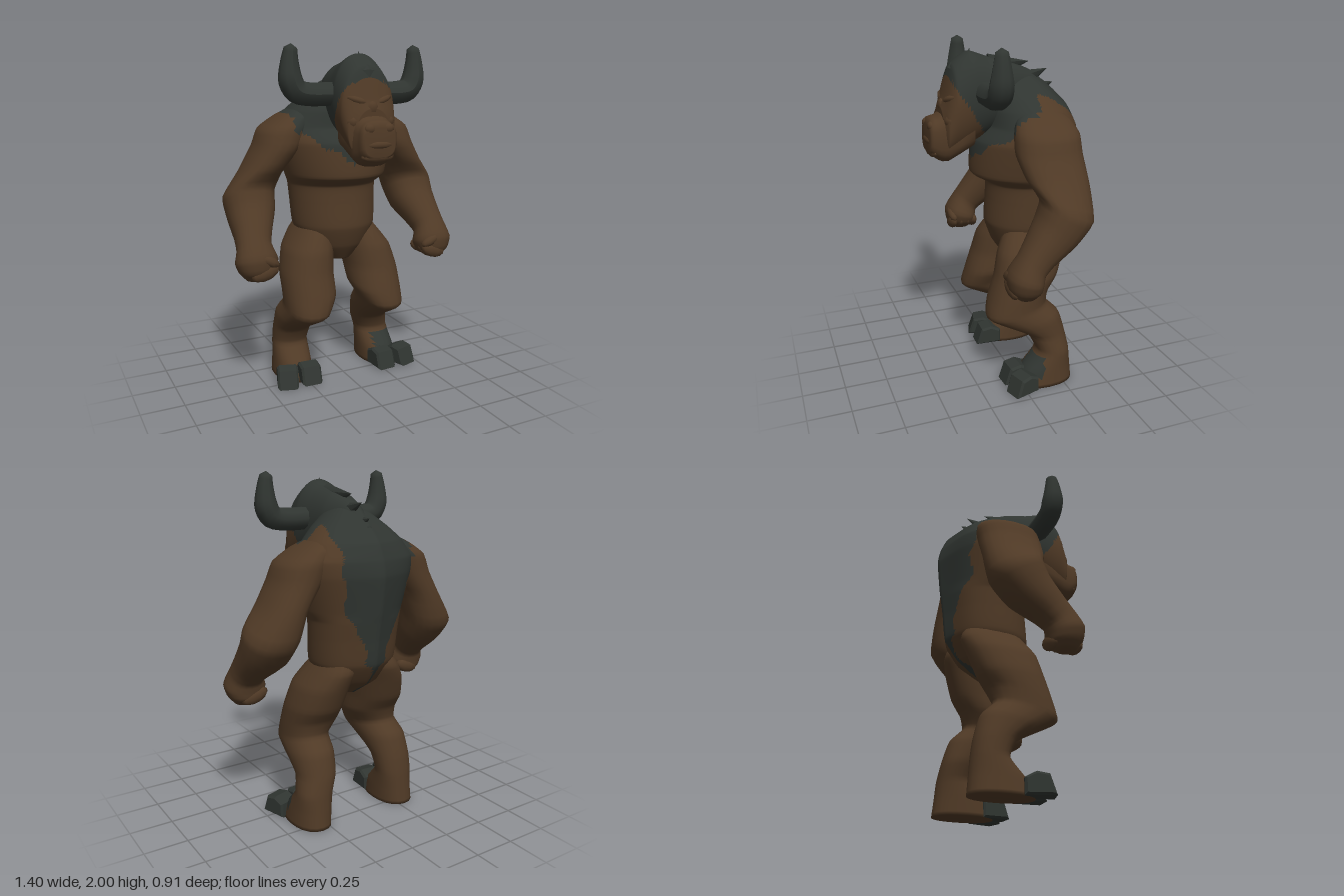
import * as THREE from 'three';

const hide = new THREE.MeshStandardMaterial({ color: 0x503a26 });
hide.name = 'brown hide';
const dark = new THREE.MeshStandardMaterial({ color: 0x303531 });
dark.name = 'dark horn and mane';

// Smooth closed skin through sections [x, y, z, halfWidth, halfDepth, tilt].
// isDark(x, y, z) picks the faces that take the dark colour; ridged makes the back a low ridge.
function loft(sections, { sides = 16, steps = 3, power = 1, ridged = false, isDark = () => false } = {}) {
  const spline = (pts) => new THREE.CatmullRomCurve3(pts, false, 'catmullrom', 0.25);
  const centres = spline(sections.map((s) => new THREE.Vector3(s[0], s[1], s[2])));
  const sizes = spline(sections.map((s) => new THREE.Vector3(s[3], s[4], s[5] || 0)));
  const rows = (sections.length - 1) * steps;
  const p = [];
  const bend = (v) => Math.sign(v) * Math.abs(v) ** power;
  for (let i = 0; i <= rows; i++) {
    const c = centres.getPoint(i / rows), s = sizes.getPoint(i / rows);
    for (let j = 0; j < sides; j++) {
      const t = (j / sides) * Math.PI * 2;
      const u = Math.abs(Math.cos(t));
      const back = ridged && Math.sin(t) < 0;
      const d = s.y * (back ? (0.4 * u - 1) * Math.sqrt(Math.max(0, 1 - u ** 6)) : bend(Math.sin(t)));
      p.push(c.x + bend(Math.cos(t)) * s.x, c.y + d * Math.sin(s.z), c.z + d * Math.cos(s.z));
    }
  }
  const first = p.length / 3;
  for (const e of [sections[0], sections[sections.length - 1]]) p.push(e[0], e[1], e[2]);
  let faces = [];
  for (let j = 0; j < sides; j++) {
    const k = (j + 1) % sides;
    for (let i = 0; i < rows; i++) {
      const a = i * sides + j, b = i * sides + k;
      faces.push([a, b, a + sides], [b, b + sides, a + sides]);
    }
    faces.push([first, k, j], [first + 1, rows * sides + j, rows * sides + k]);
  }
  // Turn the skin outward when its signed volume is negative
  const at = (i) => new THREE.Vector3(p[3 * i], p[3 * i + 1], p[3 * i + 2]);
  const origin = at(first);
  const volume = faces.reduce((sum, f) => {
    const [a, b, c] = f.map((i) => at(i).sub(origin));
    return sum + a.dot(b.cross(c));
  }, 0);
  if (volume < 0) faces = faces.map(([a, b, c]) => [a, c, b]);
  const sets = [[], []];
  for (const f of faces) {
    const m = at(f[0]).add(at(f[1])).add(at(f[2])).divideScalar(3);
    sets[isDark(m.x, m.y, m.z) ? 1 : 0].push(...f);
  }
  const g = new THREE.BufferGeometry();
  g.setAttribute('position', new THREE.Float32BufferAttribute(p, 3));
  g.setIndex([...sets[0], ...sets[1]]);
  g.addGroup(0, sets[0].length, 0);
  g.addGroup(sets[0].length, sets[1].length, 1);
  g.computeVertexNormals();
  return g;
}

function add(parent, name, geometry, material, pos = [0, 0, 0], rot = [0, 0, 0], scale = [1, 1, 1]) {
  const m = new THREE.Mesh(geometry, material);
  m.name = name;
  m.position.set(...pos);
  m.rotation.set(...rot);
  m.scale.set(...scale);
  parent.add(m);
}

const ball = () => new THREE.SphereGeometry(1, 10, 7);

// Width of the dark patch down the spine at a given height
function patchWidth(y) {
  const steps = [[0.94, 0], [0.96, 0.05], [1.12, 0.08], [1.24, 0.19], [1.4, 0.23], [1.55, 0.27], [2, 0.31]];
  for (let i = 1; i < steps.length; i++) {
    const [y0, w0] = steps[i - 1], [y1, w1] = steps[i];
    if (y < y1) return y < y0 ? 0 : w0 + ((w1 - w0) * (y - y0)) / (y1 - y0);
  }
  return 0.31;
}

function addTorso(root) {
  // [height, half width, front z, back z]
  const rings = [
    [0.74, 0.08, 0.0, -0.18], [0.83, 0.19, 0.06, -0.31], [0.95, 0.25, 0.1, -0.39],
    [1.1, 0.262, 0.09, -0.41], [1.2, 0.27, 0.09, -0.425], [1.26, 0.3, 0.185, -0.435],
    [1.45, 0.35, 0.17, -0.455], [1.54, 0.35, 0.11, -0.44], [1.63, 0.29, 0.1, -0.4],
    [1.7, 0.22, 0.08, -0.33], [1.77, 0.13, 0.05, -0.25], [1.82, 0.05, 0.0, -0.16],
  ];
  const isDark = (x, y, z) => (z < -0.13
    ? Math.abs(x) < patchWidth(y) + (x < 0 ? 0.03 : Math.min(0, 1.15 - y) * 0.15) + 0.012 * Math.sin(y * 35)
    : y > 1.34 + Math.abs(x) * 0.6 + 0.012 * Math.sin(x * 45));
  const g = loft(rings.map(([y, w, f, b]) => [0, y, (f + b) / 2, w, (f - b) / 2]),
    { sides: 96, steps: 8, ridged: true, isDark });
  add(root, 'torso', g, [hide, dark]);
}

function addHead(root) {
  const head = new THREE.Group();
  head.name = 'head';
  root.add(head);
  // [z, top, bottom, half width], lofted forwards
  const along = (rings) => rings.map(([z, t, b, w]) => [0, (t + b) / 2, z, w, (t - b) / 2, Math.PI / 2]);
  const isDark = (x, y, z) => y > 1.5 + (z - 0.12) * 1.6 - Math.abs(x) * 0.2;
  add(head, 'skull', loft(along([
    [-0.32, 1.71, 1.6, 0.03], [-0.17, 1.83, 1.58, 0.08], [-0.03, 1.89, 1.53, 0.125], [0.1, 1.92, 1.49, 0.145],
    [0.2, 1.95, 1.44, 0.16], [0.3, 1.88, 1.39, 0.16], [0.35, 1.71, 1.37, 0.142], [0.37, 1.66, 1.41, 0.1],
  ]), { sides: 56, steps: 8, power: 0.95, isDark }), [hide, dark]);
  add(head, 'muzzle', loft(along([
    [0.2, 1.6, 1.43, 0.13], [0.34, 1.635, 1.35, 0.125], [0.39, 1.61, 1.36, 0.112],
    [0.43, 1.6, 1.39, 0.108], [0.447, 1.565, 1.41, 0.09],
  ]), { sides: 24, steps: 2, power: 0.7 }), hide);
  add(head, 'noseBridge', ball(), hide, [0, 1.645, 0.335], [0.4, 0, 0], [0.045, 0.06, 0.035]);
  add(head, 'upperLip', ball(), hide, [0, 1.475, 0.43], [0, 0, 0], [0.105, 0.025, 0.025]);
  add(head, 'lowerLip', ball(), hide, [0, 1.41, 0.42], [0, 0, 0], [0.1, 0.03, 0.025]);
  add(head, 'foreheadMark', new THREE.OctahedronGeometry(0.04), dark, [0, 1.86, 0.305], [-0.4, 0, 0], [1, 1, 0.3]);
  for (const s of [1, -1]) {
    add(head, 'brow', ball(), hide, [s * 0.075, 1.705, 0.315], [0, s * 0.3, s * 0.3], [0.07, 0.025, 0.04]);
    add(head, 'cheek', ball(), hide, [s * 0.1, 1.59, 0.31], [0, 0, 0], [0.055, 0.05, 0.06]);
    add(head, 'nostril', ball(), hide, [s * 0.055, 1.56, 0.43], [0, 0, 0], [0.035, 0.028, 0.022]);
    // Upturned horn: a tube narrowed towards its tip
    const path = new THREE.CatmullRomCurve3([[0.08, 1.735], [0.29, 1.735], [0.345, 1.75], [0.378, 1.8], [0.385, 1.9], [0.375, 2]]
      .map(([x, y]) => new THREE.Vector3(s * x, y, 0.14)));
    const horn = new THREE.TubeGeometry(path, 24, 0.07, 10);
    const pos = horn.attributes.position, uv = horn.attributes.uv;
    const v = new THREE.Vector3();
    for (let i = 0; i < pos.count; i++) {
      const u = uv.getX(i);
      const r = u > 0.99 ? 0 : u < 0.65 ? 0.95 : 0.95 - ((u - 0.65) / 0.35) * 0.5;
      const c = path.getPointAt(u);
      v.fromBufferAttribute(pos, i).sub(c).multiplyScalar(r).add(c);
      pos.setXYZ(i, v.x, v.y, v.z);
    }
    horn.computeVertexNormals();
    add(head, 'horn', horn, dark);
  }
}

function addMane(root) {
  // Tufts along the crest: [x, y, z, length, radius, backward lean]
  const tufts = [
    [0, 1.92, 0.2, 0.09, 0.03, -0.3], [0.01, 1.865, -0.04, 0.24, 0.08, -1.45],
    [0.02, 1.79, -0.15, 0.26, 0.09, -1.2], [0, 1.72, -0.21, 0.22, 0.1, -1.25],
  ];
  for (const [x, y, z, len, r, lean] of tufts) {
    add(root, 'maneTuft', new THREE.ConeGeometry(r, len, 6), dark, [x, y, z], [lean, 0, 0], [0.8, 1, 1]);
  }
}

function addArm(root, s) {
  const arm = new THREE.Group();
  arm.name = s > 0 ? 'leftArm' : 'rightArm';
  root.add(arm);
  const rings = [
    [0.2, 1.66, -0.15, 0.04, 0.07, 0], [0.26, 1.6, -0.145, 0.1, 0.15, 0], [0.325, 1.53, -0.14, 0.14, 0.18, 0],
    [0.37, 1.43, -0.135, 0.135, 0.185, 0],
    [0.455, 1.3, -0.15, 0.125, 0.175, 0.1], [0.53, 1.16, -0.17, 0.15, 0.155, 0.4], [0.54, 1.05, -0.1, 0.14, 0.13, 0.7],
    [0.565, 0.95, 0, 0.11, 0.1, 0.8], [0.58, 0.89, 0.05, 0.1, 0.09, 0.7], [0.578, 0.82, 0.085, 0.122, 0.1, 0.3],
    [0.58, 0.76, 0.085, 0.1, 0.09, 0.1], [0.59, 0.715, 0.08, 0.05, 0.05, 0],
  ].map(([x, ...rest]) => [s * x, ...rest]);
  const isDark = (x, y, z) => y > 1.52 && Math.abs(x) < (z > -0.1 || s < 0 ? 0.31 : 0.21);
  add(arm, 'armAndHand', loft(rings, { sides: 20, steps: 3, power: 0.9, isDark }), [hide, dark]);
  // Fingers curled inwards under the fist, with the thumb across the front
  for (let i = 0; i < 4; i++) {
    add(arm, 'finger', ball(), hide, [s * 0.55, 0.765, 0.15 - i * 0.045], [0, 0, s * -0.3], [0.085, 0.045, 0.03]);
  }
  add(arm, 'thumb', ball(), hide, [s * 0.53, 0.83, 0.15], [0, 0, s * 0.5], [0.07, 0.032, 0.035]);
}

function addLeg(root, s) {
  const leg = new THREE.Group();
  leg.name = s > 0 ? 'leftLeg' : 'rightLeg';
  root.add(leg);
  const out = s > 0 ? 0.025 : 0; // the left foot stands slightly wider
  const rings = [
    [0.11, 1.02, -0.17, 0.07, 0.13, 0], [0.15, 0.91, -0.15, 0.115, 0.19, 0], [0.19, 0.81, -0.11, 0.145, 0.2, 0],
    [0.215, 0.68, -0.07, 0.155, 0.19, 0],
    [0.22, 0.57, -0.02, 0.155, 0.185, -0.15], [0.245, 0.475, 0.0, 0.13, 0.185, -0.2], [0.26, 0.4, -0.1, 0.128, 0.16, -0.2],
    [0.27, 0.3, -0.18, 0.115, 0.115, 0], [0.275 + out, 0.2, -0.21, 0.108, 0.1, 0],
    [0.28 + out, 0.1, -0.17, 0.112, 0.15, 0], [0.285 + out, 0, -0.15, 0.115, 0.18, 0],
  ].map(([x, ...rest]) => [s * x, ...rest]);
  const isDark = (x, y, z) => s > 0 && y < 0.18 && y > 0.06 && z > -0.13 && x > 0.25;
  add(leg, 'legAndAnkle', loft(rings, { sides: 20, steps: 4, power: 0.9, isDark }), [hide, dark]);
  // Cloven hoof: two wedge toes cut from the same side profile
  const side = new THREE.Shape([[-0.05, 0], [0.085, 0], [0.055, 0.085], [0, 0.095], [-0.05, 0.07]]
    .map(([z, y]) => new THREE.Vector2(z, y)));
  for (const [x, turn] of [[0.24, 0.05], [0.375, 0.3]]) {
    const toe = new THREE.ExtrudeGeometry(side, { depth: 0.1, bevelSize: 0.012, bevelThickness: 0.012, bevelSegments: 1 });
    toe.translate(0, 0, -0.05).rotateY(-Math.PI / 2);
    add(leg, 'hoofToe', toe, dark, [s * (x + out), 0.012, 0], [0, s * turn, 0]);
  }
}

export function createModel() {
  const root = new THREE.Group();
  root.name = 'hornedBeast';
  addTorso(root);
  addHead(root);
  addMane(root);
  for (const s of [1, -1]) {
    addArm(root, s);
    addLeg(root, s);
  }
  return root;
}
